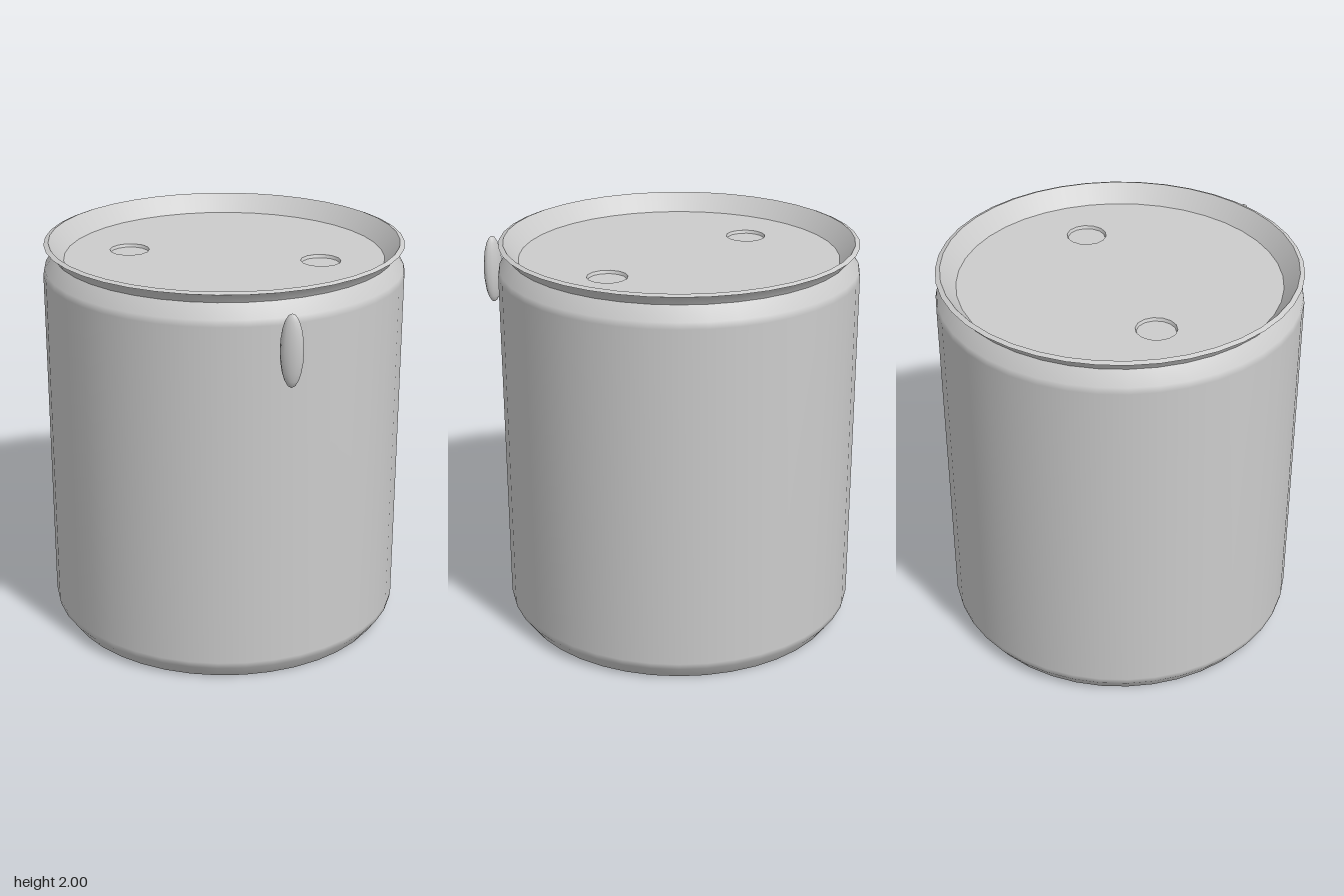
import * as THREE from 'three';

const SIDES = 40;
const metal = new THREE.MeshStandardMaterial({ color: 0xcccccc });
metal.name = 'plain grey';

export function createModel() {
  const model = new THREE.Group();
  model.name = 'drinkCan';
  const can = new THREE.Group();
  can.name = 'can';
  can.position.z = -0.007;
  model.add(can);

  const add = (name, geometry, parent = can) => {
    const mesh = new THREE.Mesh(geometry, metal);
    mesh.name = name;
    parent.add(mesh);
    return mesh;
  };
  const lathe = (points, sides = SIDES) =>
    new THREE.LatheGeometry(points.map(([r, y]) => new THREE.Vector2(r, y)), sides);

  // Smooth side wall with a shoulder at each end
  add('body', lathe([[0.845, 0], [0.893, 0.068], [0.899, 0.1], [0.899, 1.84], [0.893, 1.872], [0.845, 1.94]]));

  // Underside: standing ring, recess wall and sunken base
  add('baseFloor', lathe([[0, 0.06], [0.805, 0.06]]));
  add('baseRecess', lathe([[0.805, 0.06], [0.832, 0]]));
  add('baseRing', lathe([[0.832, 0], [0.845, 0]]));

  // Flared rim around the lid
  add('rimOuter', lathe([[0.845, 1.94], [0.868, 1.982], [0.893, 1.991]]));
  add('rimLip', lathe([[0.893, 1.991], [0.87, 2]]));
  add('rimInner', lathe([[0.87, 2], [0.797, 1.91]]));

  // Sunken lid with two shallow round dimples
  const lidY = 1.91, dimpleX = 0.485, dimpleR = 0.1, dimpleSides = 14;
  const circle = (r, n, cx = 0) => Array.from({ length: n }, (_, i) => {
    const a = (i / n) * Math.PI * 2;
    return new THREE.Vector2(cx + Math.sin(a) * r, -Math.cos(a) * r);
  });
  const lidShape = new THREE.Shape(circle(0.797, SIDES));
  for (const side of [-1, 1]) {
    lidShape.holes.push(new THREE.Path(circle(dimpleR, dimpleSides, side * dimpleX)));
    const dimple = new THREE.Group();
    dimple.name = side > 0 ? 'leftDimple' : 'rightDimple';
    dimple.position.set(side * dimpleX, lidY, 0);
    can.add(dimple);
    add('dimpleWall', lathe([[dimpleR, 0], [0.094, -0.015]], dimpleSides), dimple);
    add('dimpleFloor', lathe([[0.094, -0.015], [0, -0.015]], dimpleSides), dimple);
  }
  const lid = add('lid', new THREE.ShapeGeometry(lidShape).rotateX(-Math.PI / 2));
  lid.position.y = lidY;

  // Small long droplet beside the front of the body
  const droplet = add('droplet', new THREE.SphereGeometry(1, 12, 10).scale(0.055, 0.177, 0.034), model);
  droplet.position.set(0.482, 1.75, 0.871);

  return model;
}
